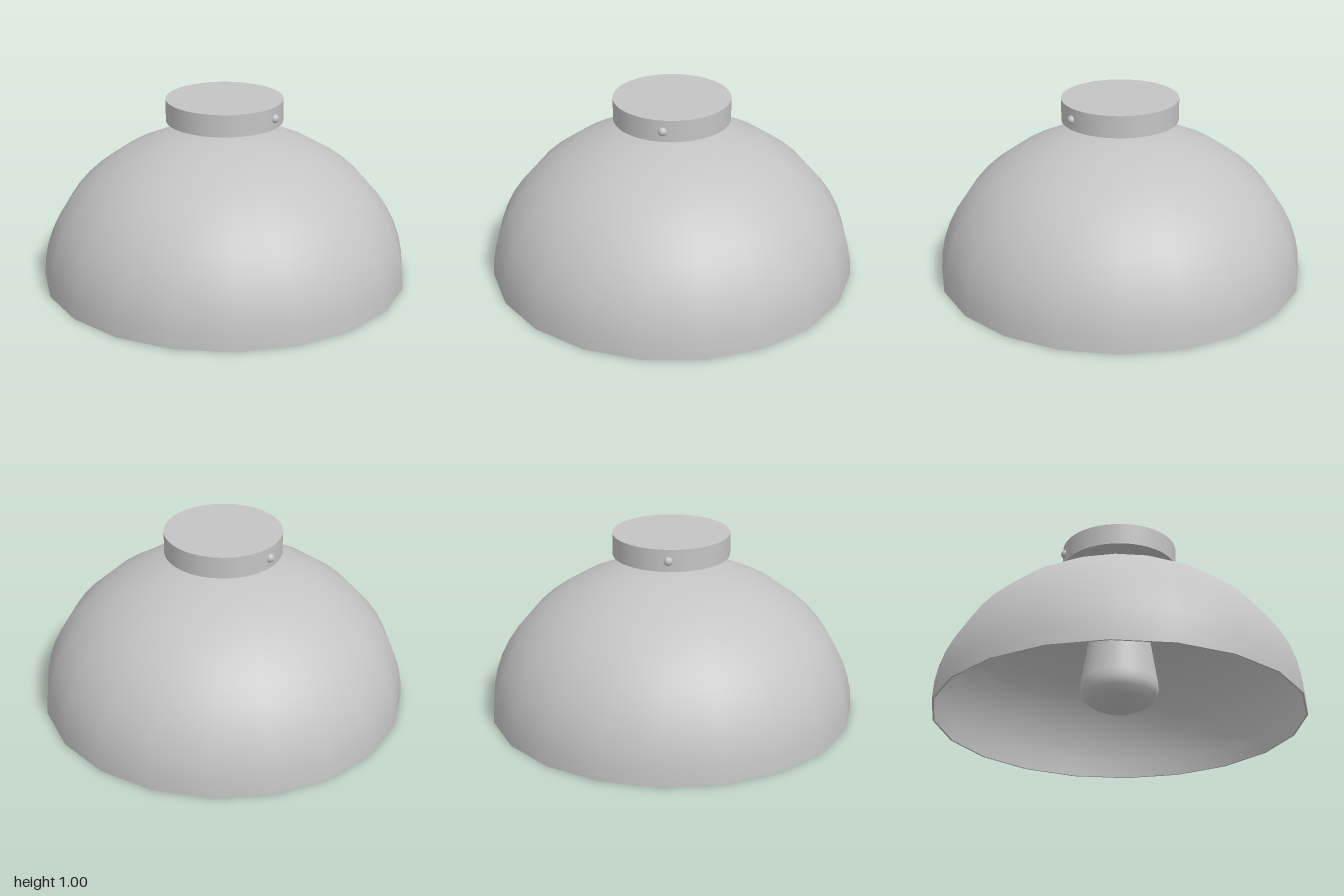
import * as THREE from 'three';

const SIDES = 20;

// Revolves [radius, height] pairs; profiles run from the bottom upwards along the outside
function lathe(name, points, material, sides = SIDES) {
  const profile = points.map(([r, y]) => new THREE.Vector2(r, y));
  const mesh = new THREE.Mesh(new THREE.LatheGeometry(profile, sides), material);
  mesh.name = name;
  return mesh;
}

// Quarter ellipse from the rim up to the crown
function domeProfile(radius, height, steps = 14) {
  return Array.from({ length: steps + 1 }, (_, i) => {
    const a = (i / steps) * Math.PI / 2;
    return [i === steps ? 0 : radius * Math.cos(a), height * Math.sin(a)];
  });
}

export function createModel() {
  const model = new THREE.Group();
  model.name = 'ceilingLamp';
  const metal = new THREE.MeshStandardMaterial({ color: 0xc4c4c4 });
  metal.name = 'pale grey';

  // Thin dome shade: outer skin, inner skin and rim
  const shade = new THREE.Group();
  shade.name = 'shade';
  shade.add(
    lathe('shadeOuter', domeProfile(1, 0.83), metal),
    lathe('shadeInner', domeProfile(0.99, 0.82).reverse(), metal),
    lathe('shadeRim', [[0.99, 0], [1, 0]], metal)
  );
  model.add(shade);

  // Tapered bulb hanging from the crown
  model.add(lathe('bulb', [
    [0, 0.035], [0.05, 0.043], [0.11, 0.055], [0.165, 0.082], [0.2, 0.115],
    [0.213, 0.155], [0.208, 0.2], [0.147, 0.576], [0.107, 0.825]
  ], metal, 32));

  // Neck between shade and ceiling plate
  const neck = new THREE.Mesh(new THREE.CylinderGeometry(0.108, 0.108, 0.07, 32), metal);
  neck.name = 'neck';
  neck.position.y = 0.85;
  model.add(neck);

  // Round ceiling plate
  const plate = new THREE.Mesh(new THREE.CylinderGeometry(0.316, 0.316, 0.12, 48), metal);
  plate.name = 'ceilingPlate';
  plate.position.y = 0.943;
  model.add(plate);

  // Screw heads on both sides of the plate
  for (const side of [-1, 1]) {
    const screw = new THREE.Mesh(new THREE.SphereGeometry(0.024, 16, 12), metal);
    screw.name = side > 0 ? 'leftScrew' : 'rightScrew';
    screw.position.set(side * 0.312, 0.94, 0);
    model.add(screw);
  }

  return model;
}
